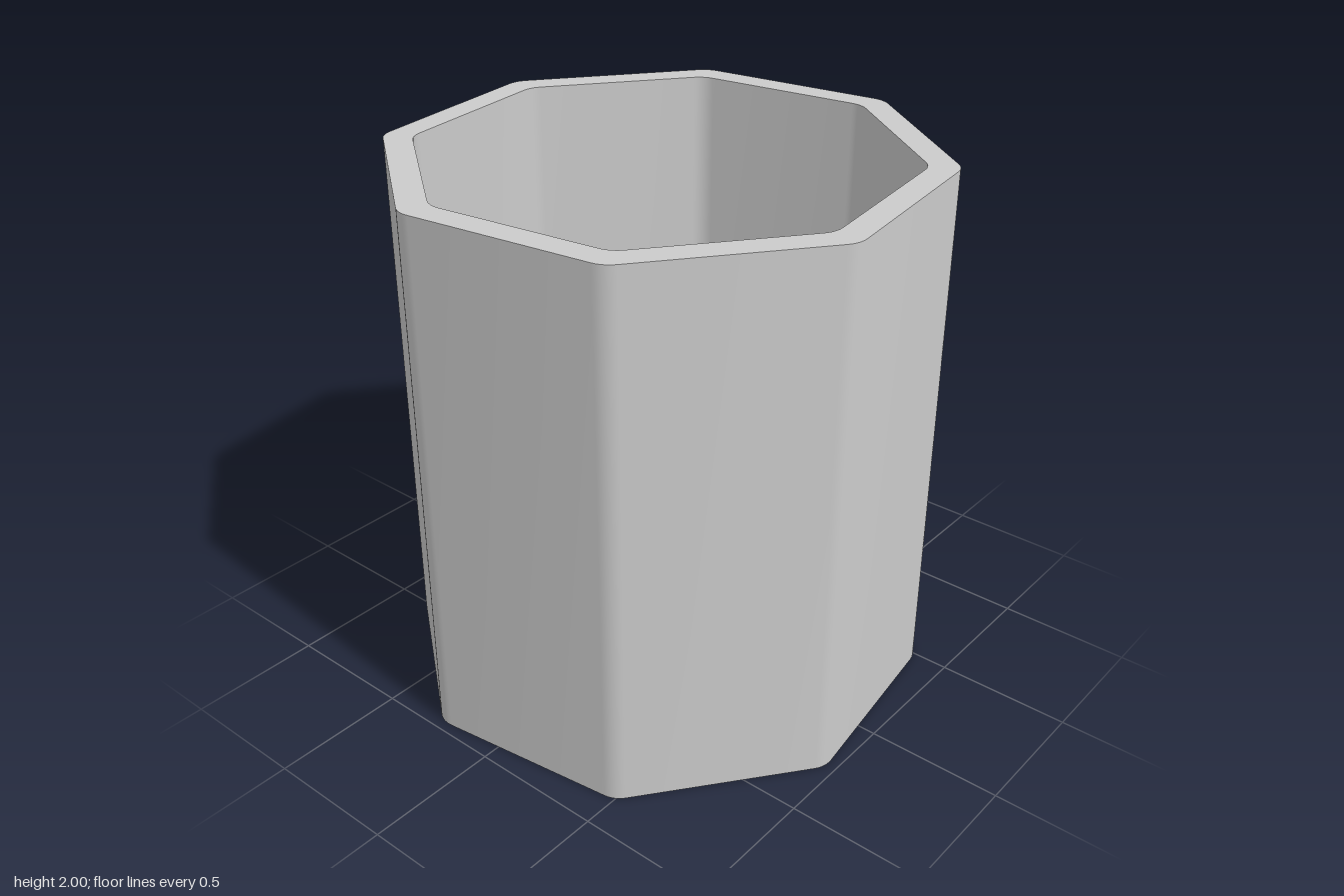
import * as THREE from 'three';
import { toCreasedNormals } from 'three/addons/utils/BufferGeometryUtils.js';

const SIDES = 8, STEPS = 6, TURN = Math.PI / 6;
const HEIGHT = 2, WALL = 0.1, FLOOR = 0.1, ROUND = 0.1;
const APOTHEM = Math.cos(Math.PI / SIDES);

// Octagon with rounded corners at height y, counter-clockwise seen from above
function ring(apothem, y) {
  const points = [];
  const reach = Math.max(0, apothem - ROUND) / Math.cos(Math.PI / SIDES);
  const round = Math.min(ROUND, apothem);
  for (let k = 0; k < SIDES; k++) {
    const corner = TURN + (k * 2 * Math.PI) / SIDES;
    for (let s = 0; s <= STEPS; s++) {
      const a = corner + (s / STEPS - 0.5) * (2 * Math.PI / SIDES);
      points.push([
        reach * Math.cos(corner) + round * Math.cos(a),
        y,
        -reach * Math.sin(corner) - round * Math.sin(a),
      ]);
    }
  }
  return points;
}

export function createModel() {
  // Profile: underside centre, outer wall, rim, inner wall, floor centre
  const rings = [
    ring(0, 0),
    ring(APOTHEM, 0),
    ring(APOTHEM, HEIGHT),
    ring(APOTHEM - WALL, HEIGHT),
    ring(APOTHEM - WALL, FLOOR),
    ring(0, FLOOR),
  ];
  const positions = [];
  const last = rings.length - 2;
  for (let j = 0; j <= last; j++) {
    const n = rings[j].length;
    for (let i = 0; i < n; i++) {
      const i2 = (i + 1) % n;
      const a = rings[j][i], b = rings[j][i2];
      const c = rings[j + 1][i2], d = rings[j + 1][i];
      // The two caps meet in a point, so each needs one triangle per step
      if (j > 0) positions.push(...a, ...b, ...c);
      if (j < last) positions.push(...a, ...c, ...d);
    }
  }
  const geometry = new THREE.BufferGeometry();
  geometry.setAttribute('position', new THREE.Float32BufferAttribute(positions, 3));

  const cup = new THREE.Mesh(
    toCreasedNormals(geometry, Math.PI / 6),
    new THREE.MeshStandardMaterial({ color: 0xcccccc }),
  );
  cup.name = 'octagonalCup';

  const group = new THREE.Group();
  group.name = 'octagonalContainer';
  group.add(cup);
  return group;
}
